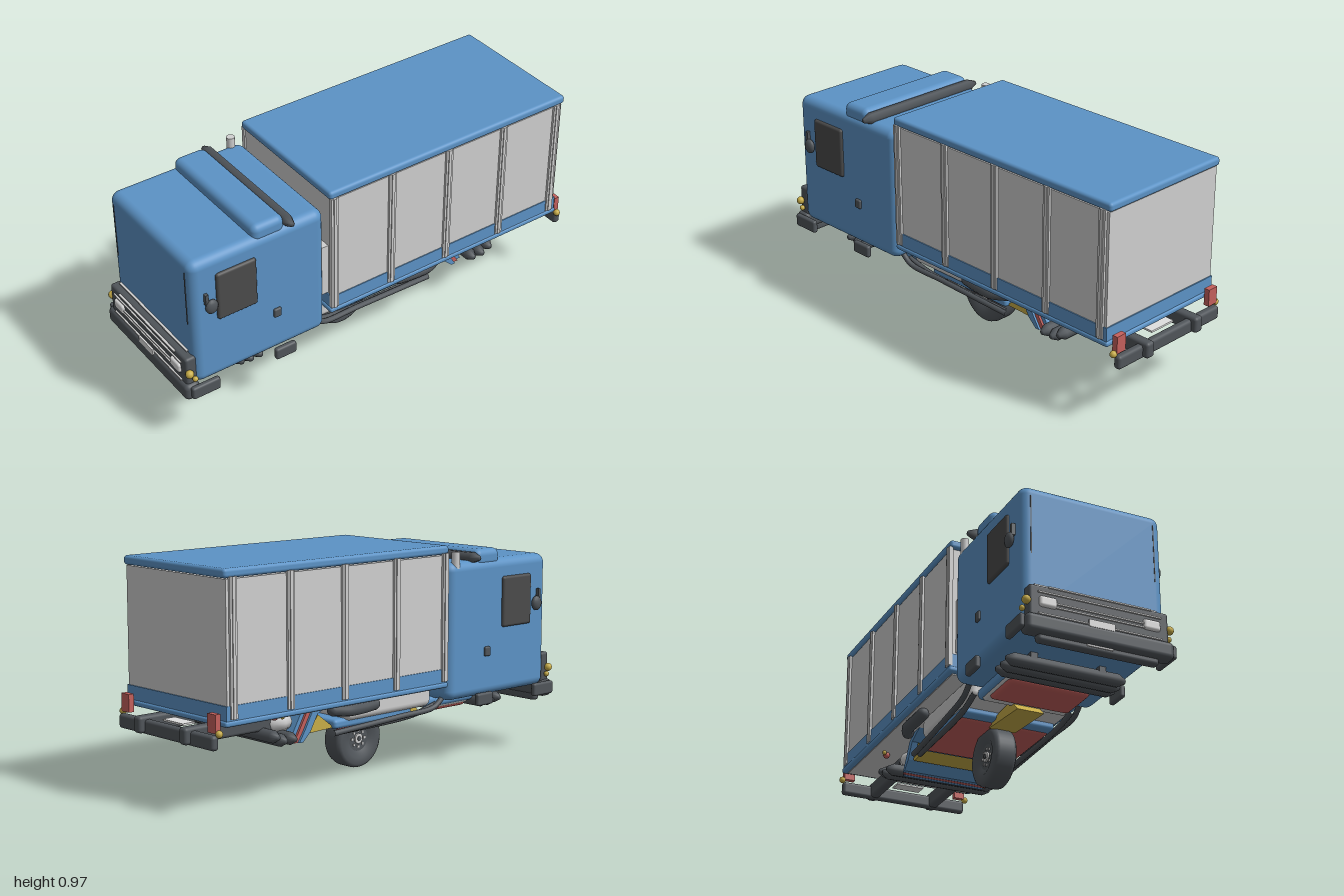
import * as THREE from 'three';
import { RoundedBoxGeometry } from 'three/addons/geometries/RoundedBoxGeometry.js';

const paint = (name, color) => {
  const m = new THREE.MeshStandardMaterial({ color });
  m.name = name;
  return m;
};

export function createModel() {
  const blue = paint('blue paint', 0x5c93c6);
  const grey = paint('light grey panel', 0xd0d0d0);
  const dark = paint('dark trim', 0x50555a);
  const glass = paint('dark glass', 0x4b4b4b);
  const red = paint('red', 0xc4605c);
  const yellow = paint('amber yellow', 0xc8ad48);
  const white = paint('lamp white', 0xe0e0e0);

  const truck = new THREE.Group();
  truck.name = 'truck';

  const add = (name, geo, mat, x = 0, y = 0, z = 0) => {
    const m = new THREE.Mesh(geo, mat);
    m.name = name;
    m.position.set(x, y, z);
    truck.add(m);
    return m;
  };
  const box = (name, mat, w, h, d, x, y, z) => add(name, new THREE.BoxGeometry(w, h, d), mat, x, y, z);
  const round = (name, mat, w, h, d, r, x, y, z) =>
    add(name, new RoundedBoxGeometry(w, h, d, 4, r), mat, x, y, z);
  const ball = (name, mat, r, x, y, z) => add(name, new THREE.SphereGeometry(r, 14, 10), mat, x, y, z);
  // bar lying across the truck, with tapered ends
  const crossBar = (name, mat, half, r, y, z, taper = 0.03, sides = 12) => {
    const pts = [[0, -half], [r * 0.4, -half], [r, -half + taper], [r, half - taper], [r * 0.4, half], [0, half]];
    const g = new THREE.LatheGeometry(pts.map(p => new THREE.Vector2(...p)), sides);
    g.rotateZ(Math.PI / 2);
    return add(name, g, mat, 0, y, z);
  };
  // side outline given as [z, y], extruded across the truck
  const profile = (name, mat, pts, width, x = 0) => {
    const g = new THREE.ExtrudeGeometry(new THREE.Shape(pts.map(p => new THREE.Vector2(...p))),
      { depth: width, bevelEnabled: false });
    g.rotateY(-Math.PI / 2);
    g.translate(width / 2, 0, 0);
    return add(name, g, mat, x);
  };
  const pipe = (name, mat, pts, r) =>
    add(name, new THREE.TubeGeometry(new THREE.CatmullRomCurve3(pts.map(p => new THREE.Vector3(...p))), 24, r, 10), mat);

  // cab
  round('cab', blue, 0.62, 0.6, 0.63, 0.04, 0, 0.59, 0.633);
  round('roofFairing', blue, 0.6, 0.08, 0.15, 0.03, 0, 0.896, 0.575);
  crossBar('roofLightBar', dark, 0.328, 0.026, 0.902, 0.485, 0.04, 6);
  add('exhaustStack', new THREE.CylinderGeometry(0.018, 0.018, 0.1, 14), grey, -0.29, 0.885, 0.375);
  box('rearCabPlate', grey, 0.58, 0.24, 0.04, 0, 0.57, 0.31);

  // front end
  round('grille', dark, 0.6, 0.19, 0.05, 0.012, 0, 0.34, 0.96);
  round('frontBumper', dark, 0.635, 0.077, 0.07, 0.022, 0, 0.272, 0.965);
  round('bumperLip', dark, 0.52, 0.04, 0.04, 0.015, 0, 0.228, 0.955);
  box('lipStrip', grey, 0.11, 0.007, 0.006, 0, 0.229, 0.977);
  for (const [w, y, z] of [[0.53, 0.447, 0.955], [0.44, 0.43, 0.987], [0.53, 0.404, 0.987],
    [0.4, 0.366, 0.987], [0.4, 0.35, 0.987], [0.53, 0.313, 0.987]])
    box('grilleStrip', grey, w, 0.006, 0.01, 0, y, z);
  box('frontPlate', white, 0.11, 0.03, 0.008, 0, 0.313, 0.996);

  // cab sides and lamps, mirrored
  for (const s of [-1, 1]) {
    round('headlight', white, 0.075, 0.045, 0.03, 0.012, s * 0.223, 0.366, 0.982);
    ball('frontIndicator', yellow, 0.018, s * 0.308, 0.366, 0.975);
    ball('lowerIndicator', yellow, 0.012, s * 0.316, 0.338, 0.955);
    box('windscreenLine', glass, 0.004, 0.255, 0.004, s * 0.271, 0.713, 0.948);
    round('sideWindow', glass, 0.03, 0.225, 0.185, 0.012, s * 0.308, 0.696, 0.743);
    const mirror = ball('mirror', dark, 0.03, s * 0.325, 0.672, 0.866);
    mirror.scale.set(0.55, 1.1, 0.95);
    box('mirrorArm', dark, 0.016, 0.05, 0.014, s * 0.318, 0.71, 0.885);
    round('doorHandle', dark, 0.018, 0.042, 0.035, 0.007, s * 0.312, 0.487, 0.557);
    round('frontCornerGuard', dark, 0.025, 0.058, 0.13, 0.01, s * 0.325, 0.278, 0.915);
    round('sideStep', dark, 0.025, 0.055, 0.1, 0.01, s * 0.322, 0.281, 0.53);
  }

  // cargo box
  box('cargoPanels', grey, 0.63, 0.56, 1.2, 0, 0.65, -0.31);
  round('cargoRoof', blue, 0.645, 0.038, 1.225, 0.014, 0, 0.952, -0.31);
  box('cargoSkirt', blue, 0.638, 0.078, 1.21, 0, 0.403, -0.31);
  round('cargoSill', blue, 0.648, 0.024, 1.225, 0.01, 0, 0.372, -0.31);
  box('cargoFloor', grey, 0.6, 0.006, 1.18, 0, 0.358, -0.31);
  for (const s of [-1, 1])
    for (const z of [0.28, -0.008, -0.299, -0.59, -0.88]) {
      box('panelRib', grey, 0.018, 0.55, 0.034, s * 0.316, 0.664, z);
      box('ribRidge', grey, 0.008, 0.55, 0.014, s * 0.325, 0.664, z);
    }

  // rear frame and lamps
  for (const s of [-1, 1]) {
    round('rearRail', dark, 0.045, 0.07, 0.4, 0.014, s * 0.147, 0.312, -0.8);
    box('tailLamp', red, 0.05, 0.075, 0.025, s * 0.278, 0.377, -0.945);
    ball('rearIndicator', yellow, 0.015, s * 0.31, 0.338, -0.945);
    ball('underIndicator', yellow, 0.01, s * 0.25, 0.345, -0.575);
    ball('underLamp', red, 0.015, s * 0.23, 0.345, -0.6);
  }
  round('rearBumper', dark, 0.61, 0.06, 0.035, 0.014, 0, 0.302, -0.957);
  box('rearCrossMember', dark, 0.3, 0.045, 0.05, 0, 0.312, -0.7);
  box('rearPlate', white, 0.13, 0.008, 0.06, 0, 0.335, -0.9);

  // crosswise bars below
  for (const [z, y] of [[0.7, 0.255], [0.655, 0.248], [0.61, 0.248], [-0.515, 0.245], [-0.565, 0.245], [-0.605, 0.265]])
    crossBar('underBar', dark, 0.26, 0.027, y, z);
  for (const s of [-1, 1]) {
    box('barHanger', dark, 0.03, 0.07, 0.14, s * 0.15, 0.285, 0.655);
    box('barHanger', dark, 0.03, 0.07, 0.12, s * 0.15, 0.29, -0.56);
  }

  // side pipes and silencers
  for (const s of [-1, 1]) {
    pipe('lowerSideRail', dark, [[s * 0.25, 0.3, 0.34], [s * 0.25, 0.265, 0.29], [s * 0.24, 0.25, 0.1], [s * 0.23, 0.23, -0.28]], 0.012);
    pipe('innerSideRail', dark, [[s * 0.22, 0.27, 0.33], [s * 0.215, 0.24, 0.2], [s * 0.21, 0.225, -0.26]], 0.012);
    pipe('silencer', dark, [[s * 0.27, 0.335, -0.09], [s * 0.275, 0.33, -0.16], [s * 0.275, 0.33, -0.24], [s * 0.25, 0.335, -0.3]], 0.027);
    ball('silencerEnd', dark, 0.027, s * 0.27, 0.335, -0.09);
    ball('silencerEnd', dark, 0.027, s * 0.25, 0.335, -0.3);
  }

  // underfloor body
  round('underTank', grey, 0.46, 0.1, 0.5, 0.03, 0, 0.315, 0.05);
  round('floorBorder', blue, 0.42, 0.04, 0.45, 0.015, 0, 0.258, -0.03);
  round('floorPan', red, 0.4, 0.03, 0.38, 0.012, 0, 0.246, -0.04);
  round('frontCushionRim', blue, 0.4, 0.05, 0.3, 0.02, 0, 0.275, 0.45);
  round('frontCushionBand', grey, 0.38, 0.05, 0.26, 0.02, 0, 0.265, 0.45);
  round('frontCushion', red, 0.36, 0.05, 0.2, 0.022, 0, 0.252, 0.47);
  profile('frontWedge', yellow, [[0.39, 0.205], [0.33, 0.265], [0.15, 0.25], [0.12, 0.225]], 0.12);
  profile('rearWedge', yellow, [[-0.22, 0.245], [-0.25, 0.25], [-0.33, 0.31], [-0.38, 0.25], [-0.37, 0.24]], 0.38);
  [blue, red, blue].forEach((mat, i) => {
    const o = -0.022 * i;
    profile('curvedBand', mat, [[-0.27 + o, 0.355], [-0.35 + o, 0.32], [-0.39 + o, 0.25], [-0.43 + o, 0.212],
      [-0.45 + o, 0.212], [-0.42 + o, 0.26], [-0.38 + o, 0.33], [-0.31 + o, 0.36]], 0.42 - 0.02 * i);
  });
  ball('rearTank', grey, 1, 0, 0.3, -0.51).scale.set(0.2, 0.075, 0.11);

  // wheel
  const tyre = [[0.055, -0.035], [0.085, -0.05], [0.112, -0.05], [0.124, -0.042], [0.128, -0.03],
    [0.128, 0.03], [0.124, 0.042], [0.112, 0.05], [0.085, 0.05], [0.055, 0.035]];
  const tyreGeo = new THREE.LatheGeometry(tyre.map(p => new THREE.Vector2(...p)), 40);
  tyreGeo.rotateZ(Math.PI / 2);
  add('tyre', tyreGeo, dark, 0, 0.13, 0.043);
  const disc = (name, mat, r, w) =>
    add(name, new THREE.CylinderGeometry(r, r, w, 24).rotateZ(Math.PI / 2), mat, 0, 0.13, 0.043);
  disc('wheelDisc', dark, 0.058, 0.068);
  disc('hub', grey, 0.022, 0.082);
  disc('hubCap', dark, 0.01, 0.09);
  for (let i = 0; i < 8; i++) {
    const a = i * Math.PI / 4;
    box('wheelNut', grey, 0.076, 0.01, 0.01, 0, 0.13 + 0.036 * Math.sin(a), 0.043 + 0.036 * Math.cos(a));
  }
  return truck;
}
